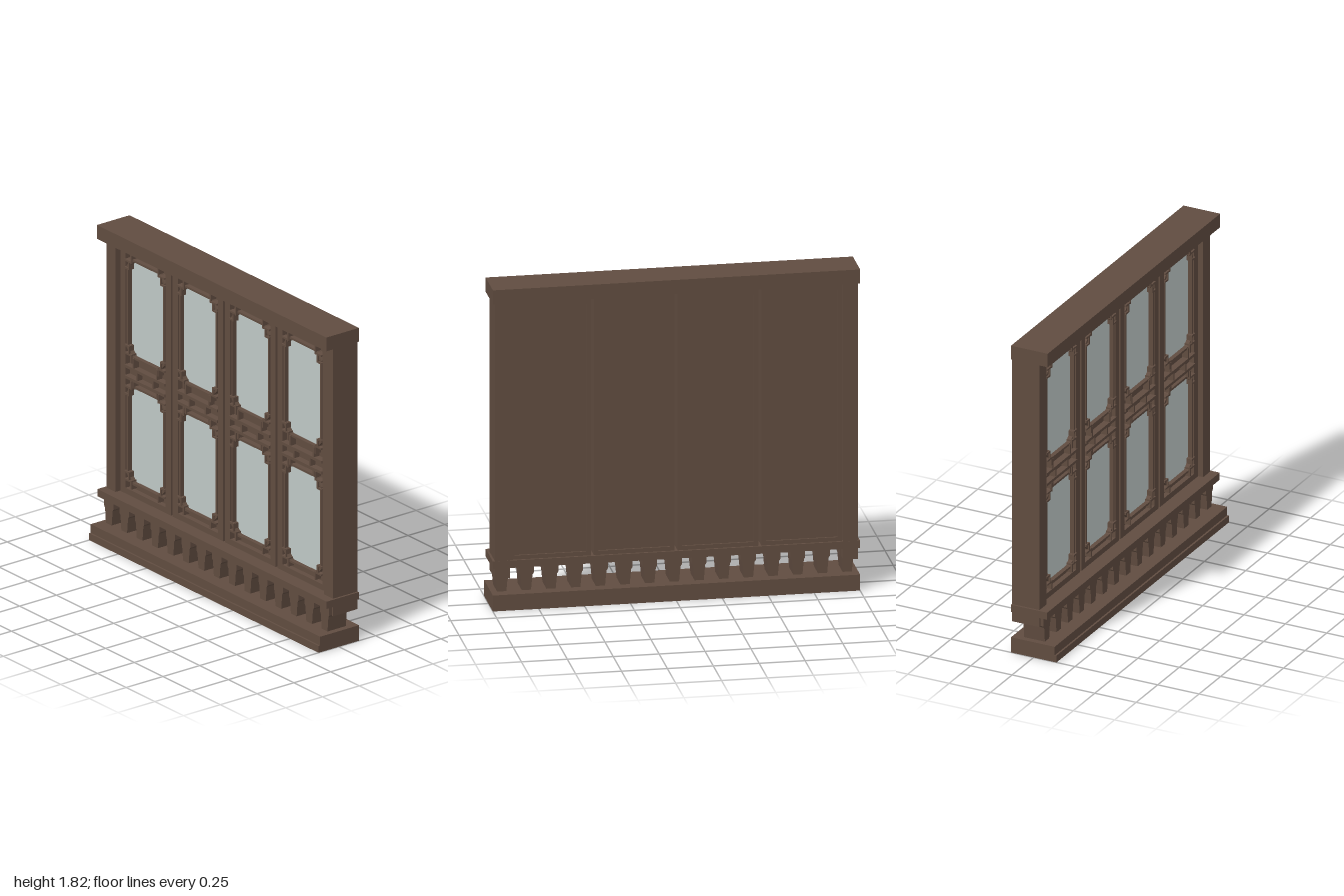
import * as THREE from 'three';

const wood = new THREE.MeshStandardMaterial({ color: 0x604c40 });
wood.name = 'dark wood';
const glass = new THREE.MeshStandardMaterial({ color: 0xbfc8c6 });
glass.name = 'pale glass';

// Box given by its limits on each axis
function box(parent, name, x0, x1, y0, y1, z0, z1, mat = wood) {
  const m = new THREE.Mesh(new THREE.BoxGeometry(x1 - x0, y1 - y0, z1 - z0), mat);
  m.position.set((x0 + x1) / 2, (y0 + y1) / 2, (z0 + z1) / 2);
  m.name = name;
  parent.add(m);
  return m;
}

// Rectangle with cut corners
function octagon(w, h, c) {
  return [[-w, -h + c], [-w + c, -h], [w - c, -h], [w, -h + c],
    [w, h - c], [w - c, h], [-w + c, h], [-w, h - c]].map(p => new THREE.Vector2(...p));
}

function extrude(parent, name, shape, depth, y, z, mat) {
  const m = new THREE.Mesh(new THREE.ExtrudeGeometry(shape, { depth, bevelEnabled: false }), mat);
  m.position.set(0, y, z);
  m.name = name;
  parent.add(m);
}

// Glass pane with its moulding and corner fretwork, centred at height y
function addWindow(door, y) {
  const w = 0.153, h = 0.276, t = 0.012;
  extrude(door, 'glassPane', new THREE.Shape(octagon(w, h, 0.045)), 0.005, y, -0.03, glass);
  const ring = new THREE.Shape(octagon(w + t, h + t, 0.05));
  ring.holes.push(new THREE.Path(octagon(w, h, 0.045)));
  extrude(door, 'paneMoulding', ring, 0.03, y, -0.03, wood);
  for (const sx of [-1, 1]) for (const sy of [-1, 1]) {
    const bar = (cx, cy, bw, bh) => box(door, 'cornerFret',
      sx * cx - bw / 2, sx * cx + bw / 2, y + sy * cy - bh / 2, y + sy * cy + bh / 2, -0.03, 0.008);
    bar(0.118, 0.288, 0.01, 0.05);
    bar(0.157, 0.225, 0.036, 0.01);
    bar(0.139, 0.248, 0.01, 0.054);
    bar(0.146, 0.27, 0.054, 0.01);
  }
}

function makeDoor(x) {
  const door = new THREE.Group();
  door.name = 'door';
  door.position.x = x;
  const W = 0.22, O = 0.175, y0 = 0.28, y1 = 1.735;

  box(door, 'backPanel', -0.2, 0.2, 0.3, 1.71, -0.115, -0.03);
  for (const s of [-1, 1]) {
    const [a, b] = s < 0 ? [-W, -O] : [O, W];
    box(door, 'stile', a, b, y0, y1, -0.1, 0);
    const [c, d] = s < 0 ? [-W, -0.195] : [0.195, W];
    box(door, 'backStile', c, d, y0, y1, -0.125, -0.1);
  }
  box(door, 'topRail', -O, O, 1.7, y1, -0.1, 0);
  box(door, 'bottomRail', -O, O, y0, 0.315, -0.1, 0);
  box(door, 'backTopRail', -0.195, 0.195, 1.705, y1, -0.125, -0.1);
  box(door, 'backBottomRail', -0.195, 0.195, y0, 0.305, -0.125, -0.1);

  addWindow(door, 1.371);
  addWindow(door, 0.639);

  // Lattice between and beyond the windows
  for (const y of [1.025, 0.963]) box(door, 'latticeBar', -O, O, y - 0.008, y + 0.008, -0.03, 0.008);
  for (const [xs, a, b] of [[0.102, 1.03, 1.09], [0.07, 0.963, 1.025], [0.102, 0.92, 0.96]])
    for (const s of [-1, 1]) box(door, 'latticePost', s * xs - 0.006, s * xs + 0.006, a, b, -0.03, 0.006);
  return door;
}

// Small block bracket that tapers towards its foot
function makeBracket(x) {
  const s = new THREE.Shape([[-0.025, 0.09], [0.025, 0.09], [0.033, 0.175], [0.04, 0.185],
    [0.04, 0.24], [-0.04, 0.24], [-0.04, 0.185], [-0.033, 0.175]].map(p => new THREE.Vector2(...p)));
  const m = new THREE.Mesh(new THREE.ExtrudeGeometry(s, { depth: 0.125, bevelEnabled: false }), wood);
  m.position.set(x, 0, -0.075);
  m.name = 'bracket';
  return m;
}

export function createModel() {
  const g = new THREE.Group();
  g.name = 'panelledScreen';

  // Base, sill and top beam
  box(g, 'baseStep', -1, 1, 0, 0.04, -0.137, 0.138);
  box(g, 'base', -1, 1, 0.04, 0.09, -0.137, 0.127);
  box(g, 'sill', -1, 1, 0.24, 0.282, -0.137, 0.082);
  box(g, 'topBeam', -1, 1, 1.735, 1.815, -0.137, 0.085);

  // End posts
  box(g, 'post', -0.988, -0.908, 0.18, 1.735, -0.136, 0.03);
  box(g, 'post', 0.908, 0.988, 0.18, 1.735, -0.136, 0.03);

  for (const x of [-0.684, -0.228, 0.228, 0.684]) g.add(makeDoor(x));
  for (let i = 0; i < 15; i++) g.add(makeBracket((i - 7) * 0.1344));
  return g;
}
